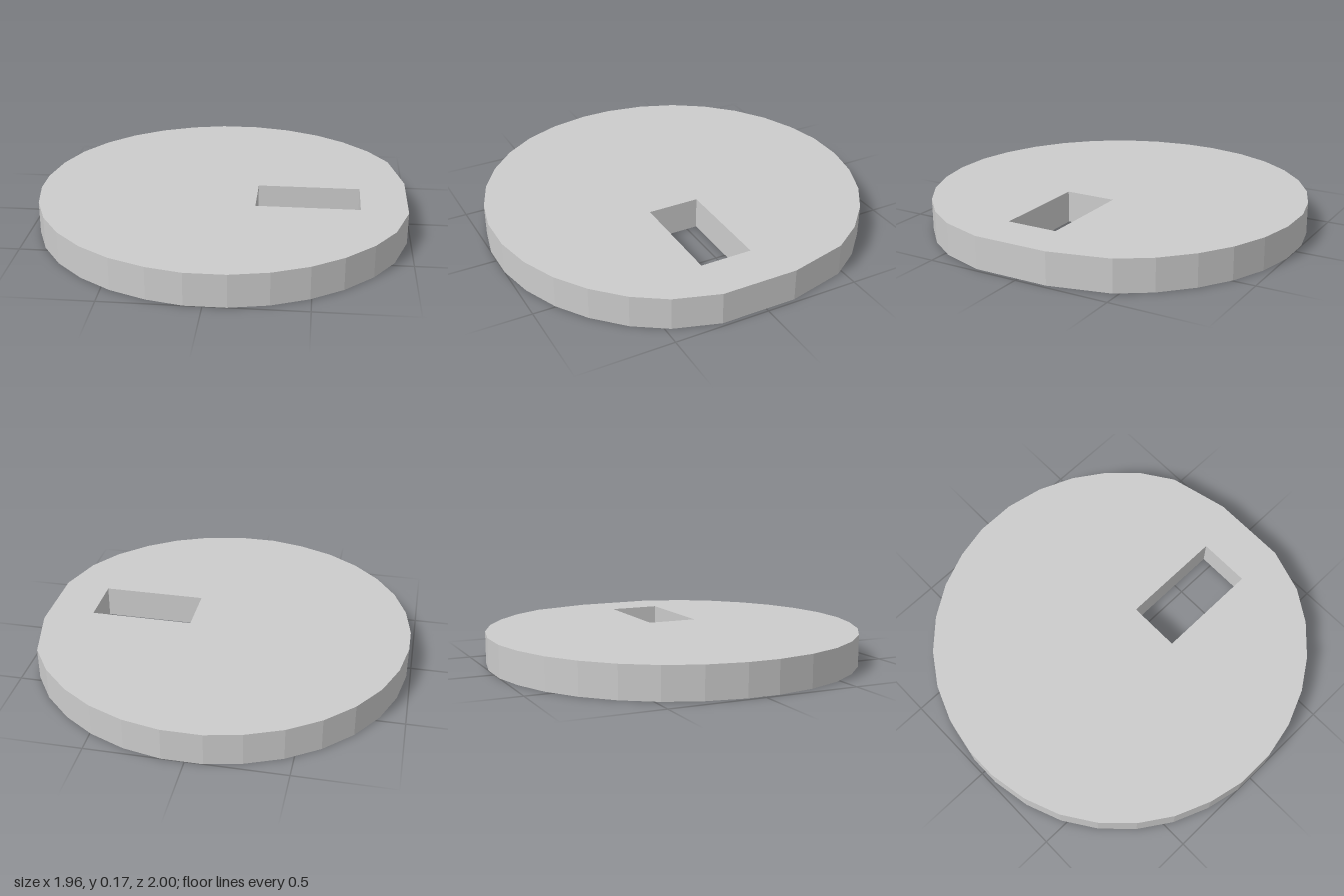
import * as THREE from 'three';

const HEIGHT = 0.17;

export function createModel() {
  const group = new THREE.Group();
  group.name = 'slottedDisc';

  // Half of the faceted rim, from the right side round to the left
  const half = [
    [0.905, 0.472], [0.797, 0.635], [0.652, 0.777], [0.494, 0.883], [0.31, 0.96],
    [0.115, 1], [-0.09, 1], [-0.272, 0.96], [-0.456, 0.885], [-0.619, 0.777],
    [-0.76, 0.637], [-0.87, 0.472], [-0.943, 0.287], [-0.98, 0.083],
  ];
  const mirrored = half.map(([x, y]) => [x, -y]).reverse();
  // The right side is cut by one flat, slightly off centre
  const flat = [[0.98, -0.24], [0.98, 0.16]];
  const outline = [...half, ...mirrored, ...flat].map(([x, y]) => new THREE.Vector2(x, y));
  const shape = new THREE.Shape(outline);

  // Rectangular slot right through the disc
  const [x0, x1, y0, y1] = [0.19, 0.735, -0.22, 0.055];
  shape.holes.push(new THREE.Path([
    new THREE.Vector2(x0, y0), new THREE.Vector2(x0, y1),
    new THREE.Vector2(x1, y1), new THREE.Vector2(x1, y0),
  ]));

  // Lay the extrusion flat, so it rises from the ground
  const geometry = new THREE.ExtrudeGeometry(shape, { depth: HEIGHT, bevelEnabled: false });
  geometry.rotateX(-Math.PI / 2);

  const material = new THREE.MeshStandardMaterial({ color: 0xcccccc, flatShading: true });
  const disc = new THREE.Mesh(geometry, material);
  disc.name = 'disc';
  group.add(disc);
  return group;
}
